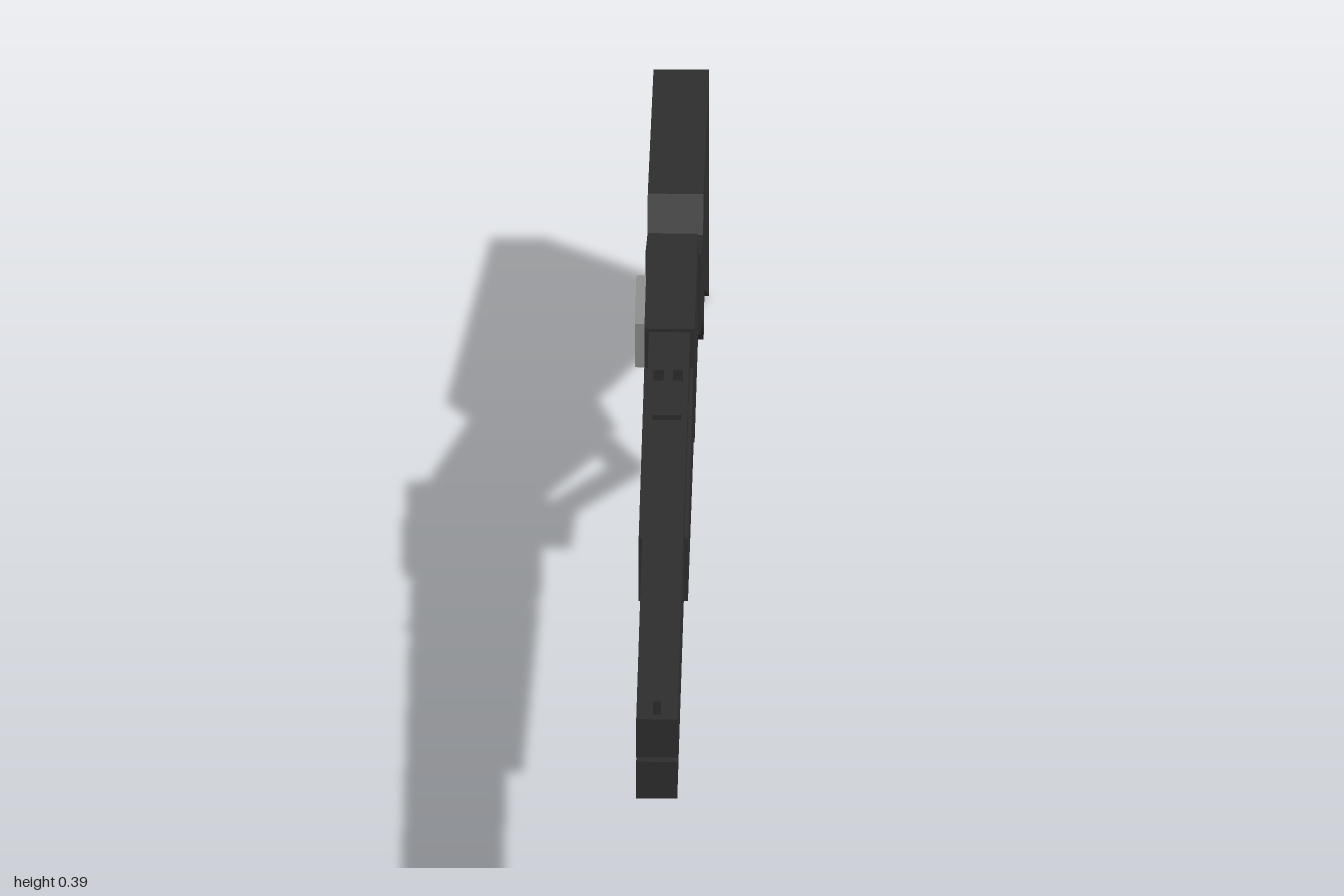
import * as THREE from 'three';

const dark = new THREE.MeshStandardMaterial({ name: 'blackened', color: 0x2e2e2e });
const steel = new THREE.MeshStandardMaterial({ name: 'bareSteel', color: 0x8e8e8e });

export function createModel() {
  const group = new THREE.Group();

  // Side profile of [z, y] points, extruded across x0..x1
  function slab(name, x0, x1, points, holes = [], material = dark) {
    const toVectors = (list) => list.map(([z, y]) => new THREE.Vector2(z, y));
    const shape = new THREE.Shape(toVectors(points));
    holes.forEach((h) => shape.holes.push(new THREE.Path(toVectors(h))));
    const geometry = new THREE.ExtrudeGeometry(shape, { depth: x1 - x0, bevelEnabled: false });
    geometry.rotateY(-Math.PI / 2).translate(x1, 0, 0);
    const mesh = new THREE.Mesh(geometry, material);
    mesh.name = name;
    group.add(mesh);
  }

  function box(name, x0, x1, y0, y1, z0, z1, material = dark) {
    const mesh = new THREE.Mesh(new THREE.BoxGeometry(x1 - x0, y1 - y0, z1 - z0), material);
    mesh.position.set((x0 + x1) / 2, (y0 + y1) / 2, (z0 + z1) / 2);
    mesh.name = name;
    group.add(mesh);
  }

  // Barrel over magazine tube, with a narrow gap between
  box('barrel', -0.02, 0.025, 0.329, 0.375, -0.05, 1);
  box('magazineTube', -0.02, 0.025, 0.28, 0.324, -0.05, 1);

  // Tapered fore-end
  slab('foreEnd', -0.025, 0.029, [[0.43, 0.261], [0.43, 0.336], [-0.026, 0.336], [-0.026, 0.243]]);

  // Receiver and its side plate
  slab('receiver', -0.025, 0.03, [
    [-0.035, 0.243], [-0.035, 0.379], [-0.286, 0.381], [-0.318, 0.34],
    [-0.37, 0.323], [-0.37, 0.23], [-0.313, 0.243],
  ]);
  box('ejectionPlate', -0.036, -0.025, 0.317, 0.369, -0.2, -0.07, steel);

  // Wrist and butt stock
  slab('stock', -0.028, 0.033, [
    [-0.33, 0.24], [-0.33, 0.336], [-0.505, 0.281], [-0.532, 0.318], [-1, 0.257],
    [-0.967, 0], [-0.612, 0.168], [-0.548, 0.136], [-0.42, 0.222],
  ]);

  // Trigger guard and lever loop
  slab('triggerGuard', -0.015, 0.02,
    [[-0.2, 0.245], [-0.207, 0.184], [-0.305, 0.178], [-0.315, 0.245]],
    [[[-0.211, 0.236], [-0.216, 0.193], [-0.297, 0.188], [-0.304, 0.236]]]);
  slab('leverLoop', -0.015, 0.02,
    [[-0.311, 0.243], [-0.303, 0.179], [-0.473, 0.067], [-0.533, 0.125]],
    [[[-0.321, 0.227], [-0.314, 0.184], [-0.472, 0.08], [-0.517, 0.125]]]);

  // Notched rear sight on its leaf, and front post
  box('rearSightLeaf', -0.013, 0.019, 0.375, 0.381, 0.1, 0.2);
  for (const x of [-0.013, 0.008]) box('rearSightEar', x, x + 0.011, 0.375, 0.394, 0.097, 0.108);
  box('frontSight', -0.002, 0.007, 0.375, 0.391, 0.975, 0.988);

  return group;
}
